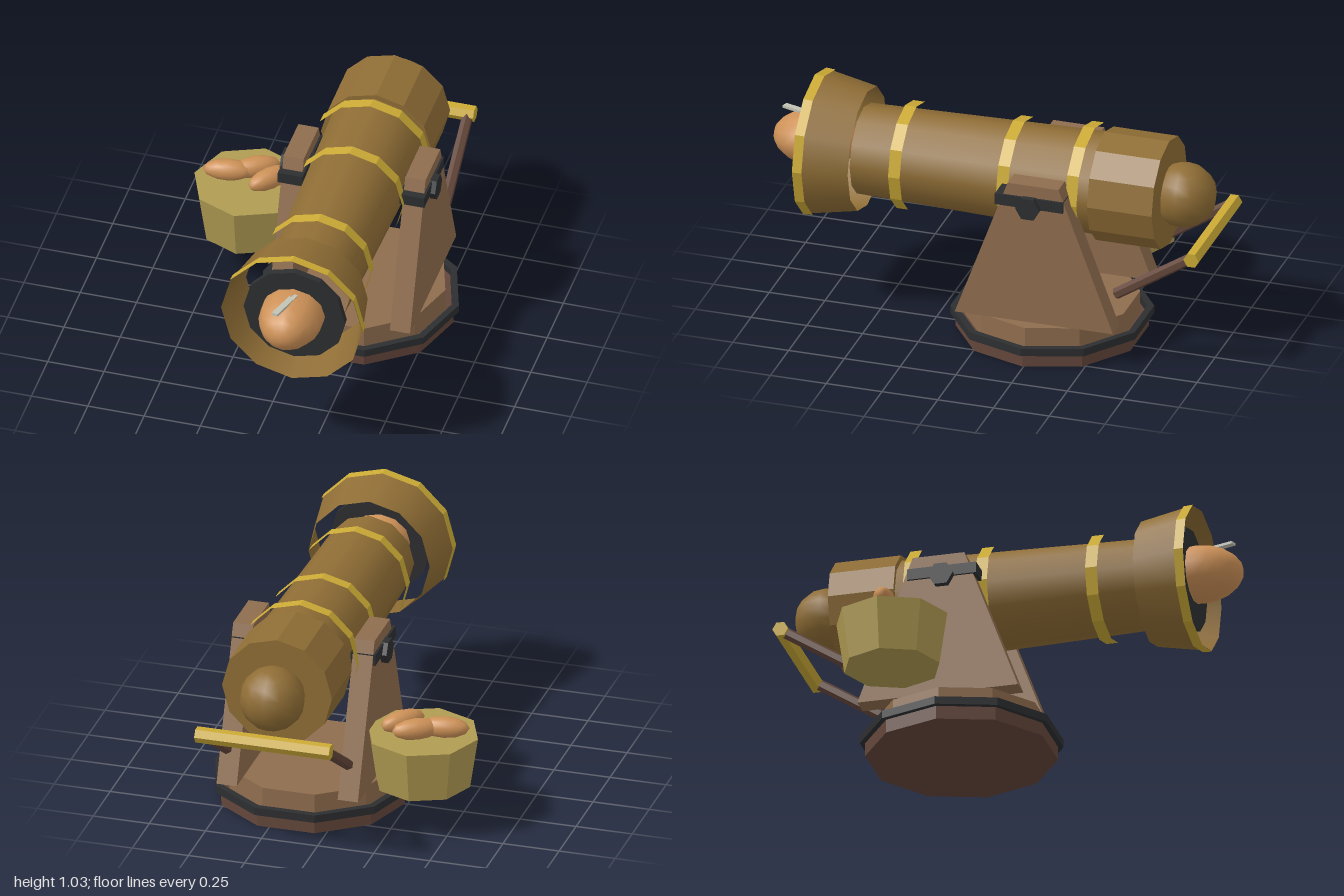
import * as THREE from 'three';

const mat = (name, color, extra = {}) => {
  const m = new THREE.MeshStandardMaterial({ color, ...extra });
  m.name = name;
  return m;
};

export function createModel() {
  const model = new THREE.Group();
  const flat = { flatShading: true };
  const bronze = mat('bronze', 0x8f6d35);
  const bronzeOpen = bronze.clone(); // same bronze, seen from both sides
  bronzeOpen.side = THREE.DoubleSide;
  const gold = mat('gold', 0xcbaa35, flat);
  const iron = mat('iron', 0x2d2e30, flat);
  const wood = mat('wood', 0x8f6d4e, flat);
  const darkWood = mat('dark wood', 0x63463a, flat);
  const straw = mat('straw', 0xb09b52, flat);
  const potatoSkin = mat('potato skin', 0xcd9157);
  const paleMetal = mat('pale metal', 0xc2c3b4, flat);

  const CX = 0.175, AXIS = 0.715, BZ = -0.245;
  const add = (name, geo, material, x = 0, y = 0, z = 0) => {
    const mesh = new THREE.Mesh(geo, material);
    mesh.name = name;
    mesh.position.set(x, y, z);
    model.add(mesh);
    return mesh;
  };
  // Tube or drum along the barrel axis, from z0 (radius r0) to z1 (radius r1)
  const alongBarrel = (name, material, z0, r0, z1, r1, open) => {
    const geo = new THREE.CylinderGeometry(r1, r0, z1 - z0, 12, 1, open).rotateX(Math.PI / 2);
    return add(name, geo, material, CX, AXIS, (z0 + z1) / 2);
  };

  // Ten-sided turntable base
  const disc = (name, r, y0, y1, material) => add(name,
    new THREE.CylinderGeometry(r, r, y1 - y0, 10, 1, false, Math.PI / 10), material, CX, (y0 + y1) / 2, BZ);
  disc('baseDisc', 0.412, 0, 0.06, darkWood);
  disc('turntable', 0.375, 0.06, 0.165, wood);
  const decagon = (r, Kind) => new Kind(Array.from({ length: 10 }, (_, i) =>
    new THREE.Vector2(r * Math.cos(i * Math.PI / 5), r * Math.sin(i * Math.PI / 5))));
  const hoop = decagon(0.435, THREE.Shape);
  hoop.holes.push(decagon(0.405, THREE.Path));
  add('baseHoop', new THREE.ExtrudeGeometry(hoop, { depth: 0.035, bevelEnabled: false }).rotateX(-Math.PI / 2),
    iron, CX, 0.06, BZ);

  // Mirrored cheeks with straps, trunnions and levers
  const cheek = new THREE.Shape([[-0.09, 0.165], [0.62, 0.165], [0.375, 0.815], [0.147, 0.815]]
    .map(p => new THREE.Vector2(...p)));
  const cheekGeo = new THREE.ExtrudeGeometry(cheek, { depth: 0.09, bevelEnabled: false })
    .translate(0, 0, -0.045).rotateY(Math.PI / 2);
  for (const s of [-1, 1]) {
    const side = s < 0 ? 'right' : 'left';
    add(side + 'Cheek', cheekGeo, wood, CX + s * 0.27, 0, 0);
    add(side + 'Strap', new THREE.BoxGeometry(0.11, 0.05, 0.305), iron, CX + s * 0.27, 0.735, BZ);
    add(side + 'Trunnion', new THREE.CylinderGeometry(0.055, 0.055, 0.14, 6).rotateZ(Math.PI / 2),
      iron, CX + s * 0.275, AXIS, BZ);
    const lever = add(side + 'Lever', new THREE.CylinderGeometry(0.025, 0.025, 0.41, 6),
      darkWood, CX + s * 0.27, 0.45, -0.79);
    lever.rotation.x = -Math.atan2(0.345, 0.225);
  }
  add('handleBar', new THREE.CylinderGeometry(0.035, 0.035, 0.6, 6).rotateZ(Math.PI / 2), gold, CX, 0.562, -0.965);

  // Barrel, breech and knob
  alongBarrel('barrel', bronze, -0.48, 0.222, 0.6, 0.196, true);
  const breech = alongBarrel('breech', bronze, -0.77, 0.245, -0.48, 0.245, false);
  breech.geometry = breech.geometry.toNonIndexed();
  breech.geometry.computeVertexNormals();
  add('breechKnob', new THREE.SphereGeometry(0.142, 12, 10), bronze, CX, AXIS, -0.837);

  // Open flared muzzle with a collar holding the shot
  alongBarrel('muzzleBell', bronzeOpen, 0.585, 0.27, 0.818, 0.314, true);
  alongBarrel('muzzleRim', gold, 0.778, 0.314, 0.82, 0.317, true);
  alongBarrel('muzzleCollar', iron, 0.75, 0.225, 0.78, 0.225, false);

  // Barrel bands
  for (const [z, r] of [[0.39, 0.233], [-0.095, 0.236], [-0.41, 0.256]])
    alongBarrel('barrelBand', gold, z - 0.026, r, z + 0.026, r, true);

  // Loaded potato with a thin metal strip
  const potato = (name, x, y, z, rx, ry, rz) => add(name,
    new THREE.SphereGeometry(1, 12, 10).rotateX(Math.PI / 2).scale(rx, ry, rz), potatoSkin, x, y, z);
  potato('loadedPotato', CX, 0.733, 0.81, 0.14, 0.122, 0.19);
  const strip = add('metalStrip', new THREE.BoxGeometry(0.028, 0.012, 0.16), paleMetal, 0.165, 0.846, 0.89);
  strip.rotation.y = -0.3;

  // Eight-sided basket and its potatoes
  add('basket', new THREE.CylinderGeometry(0.245, 0.21, 0.23, 8), straw, -0.365, 0.315, -0.405);
  for (const [x, z, angle] of [[-0.463, -0.413, 0.17], [-0.355, -0.465, 0.55], [-0.275, -0.405, 0.88]])
    potato('basketPotato', x, 0.472, z, 0.108, 0.047, 0.047).rotation.y = angle;

  return model;
}
